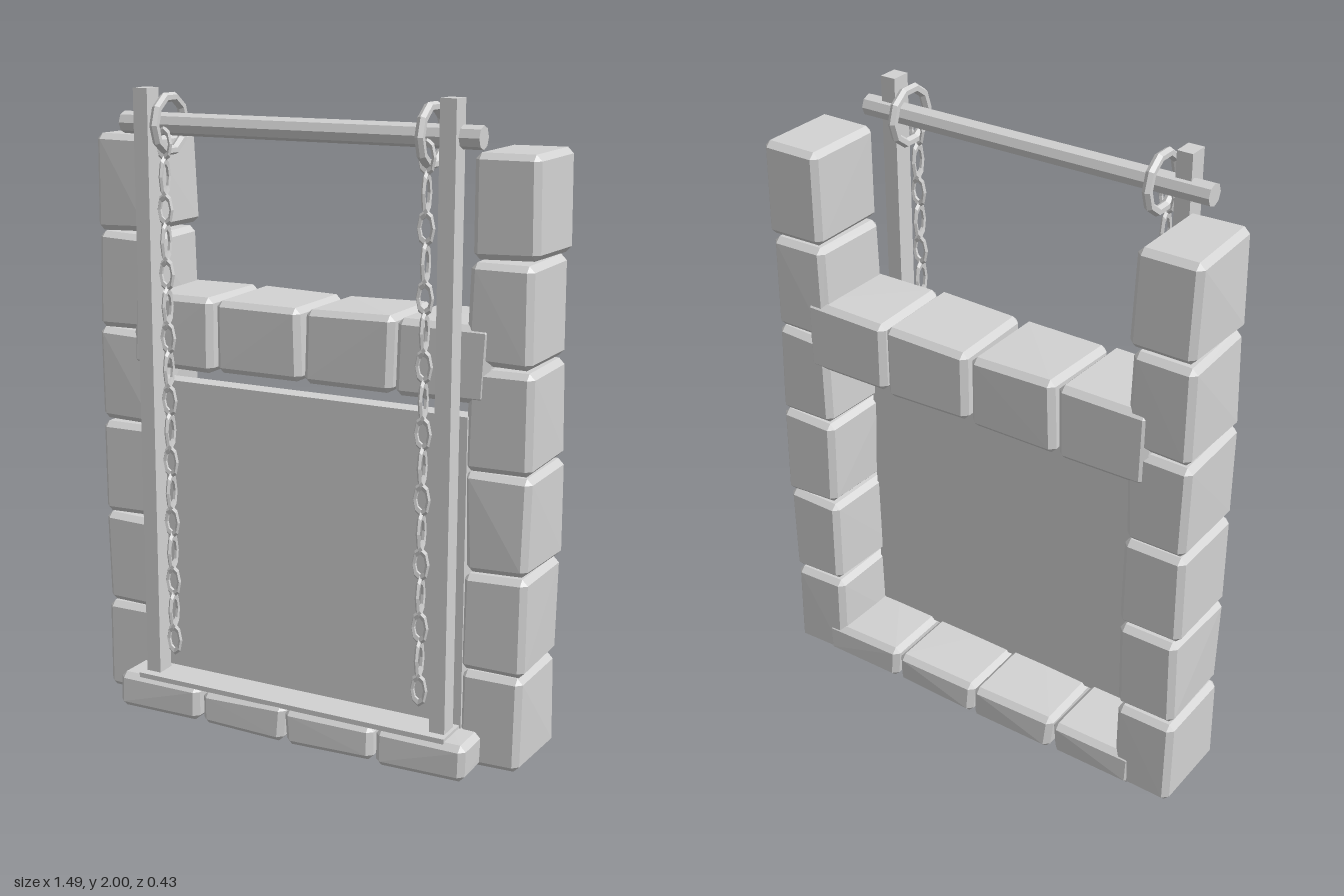
import * as THREE from 'three';
import { ConvexGeometry } from 'three/addons/geometries/ConvexGeometry.js';

const stoneGrey = new THREE.MeshStandardMaterial({ color: 0xd2d2d2 });
stoneGrey.name = 'stoneGrey';
stoneGrey.flatShading = true;
stoneGrey.side = THREE.DoubleSide;

let seed = 7;
function random() {
  seed = (seed * 16807) % 2147483647;
  return seed / 2147483647;
}

function add(parent, name, geometry, x = 0, y = 0, z = 0) {
  const mesh = new THREE.Mesh(geometry, stoneGrey);
  mesh.name = name;
  mesh.position.set(x, y, z);
  parent.add(mesh);
  return mesh;
}

// Rough-hewn block: a chamfered box whose corners are pushed slightly inward.
function stone(w, h, d, bevel = 0.018, rough = 0.012) {
  const points = [];
  for (const sx of [-1, 1]) for (const sy of [-1, 1]) for (const sz of [-1, 1]) {
    const x = w / 2 - random() * rough;
    const y = h / 2 - random() * rough * 0.7;
    const z = d / 2 - random() * rough * 0.5;
    points.push(
      new THREE.Vector3(sx * x, sy * (y - bevel), sz * (z - bevel)),
      new THREE.Vector3(sx * (x - bevel), sy * y, sz * (z - bevel)),
      new THREE.Vector3(sx * (x - bevel), sy * (y - bevel), sz * z));
  }
  return new ConvexGeometry(points);
}

export function createModel() {
  const model = new THREE.Group();
  model.name = 'chainedStoneGate';

  // Side pillars of six stacked blocks
  for (const side of [-1, 1]) {
    const pillar = new THREE.Group();
    pillar.name = side > 0 ? 'leftPillar' : 'rightPillar';
    for (let i = 0; i < 6; i++) {
      const shift = (random() - 0.5) * 0.008;
      add(pillar, 'pillarStone', stone(0.212, 0.31, 0.296), side * 0.638 + shift, 0.156 + i * 0.309, -0.059);
    }
    model.add(pillar);
  }

  // Lintel and sill, four stones each
  for (let i = 0; i < 4; i++) {
    const x = (i - 1.5) * 0.307;
    add(model, 'lintelStone', stone(0.309, 0.24, 0.308), x, 1.245, -0.061);
    add(model, 'sillStone', stone(0.309, 0.124, 0.425), x, 0.062, 0.002);
  }

  // Gate slab set between the pillars, and the ledge in front of it
  add(model, 'gateSlab', new THREE.BoxGeometry(1.09, 0.98, 0.065), 0, 0.6, 0.0525);
  add(model, 'ledge', new THREE.BoxGeometry(1.08, 0.016, 0.125), 0, 0.122, 0.138);

  // Posts and crossbar
  for (const side of [-1, 1]) {
    add(model, 'post', new THREE.BoxGeometry(0.05, 1.88, 0.064), side * 0.504, 1.06, 0.138);
  }
  const bar = add(model, 'crossbar', new THREE.CylinderGeometry(0.034, 0.034, 1.185, 8), -0.002, 1.893, 0.12);
  bar.rotation.z = Math.PI / 2;

  // Rings over the bar with hanging chains of oval links
  const link = new THREE.TorusGeometry(0.022, 0.007, 5, 8).scale(1, 1.9, 1);
  for (const side of [-1, 1]) {
    const chain = new THREE.Group();
    chain.name = side > 0 ? 'leftChain' : 'rightChain';
    chain.position.x = side * 0.434;
    const ring = add(chain, 'ring', new THREE.TorusGeometry(0.083, 0.015, 6, 10), 0, 1.893, 0.118);
    ring.rotation.y = Math.PI / 2;
    for (let i = 0; i < 17; i++) {
      const piece = add(chain, 'chainLink', link, 0, 1.836 - i * 0.0992, 0.15);
      // Every second link is turned sideways and a little longer
      if (i % 2) {
        piece.rotation.y = Math.PI / 2;
        piece.scale.y = 1.25;
      }
    }
    model.add(chain);
  }

  return model;
}
